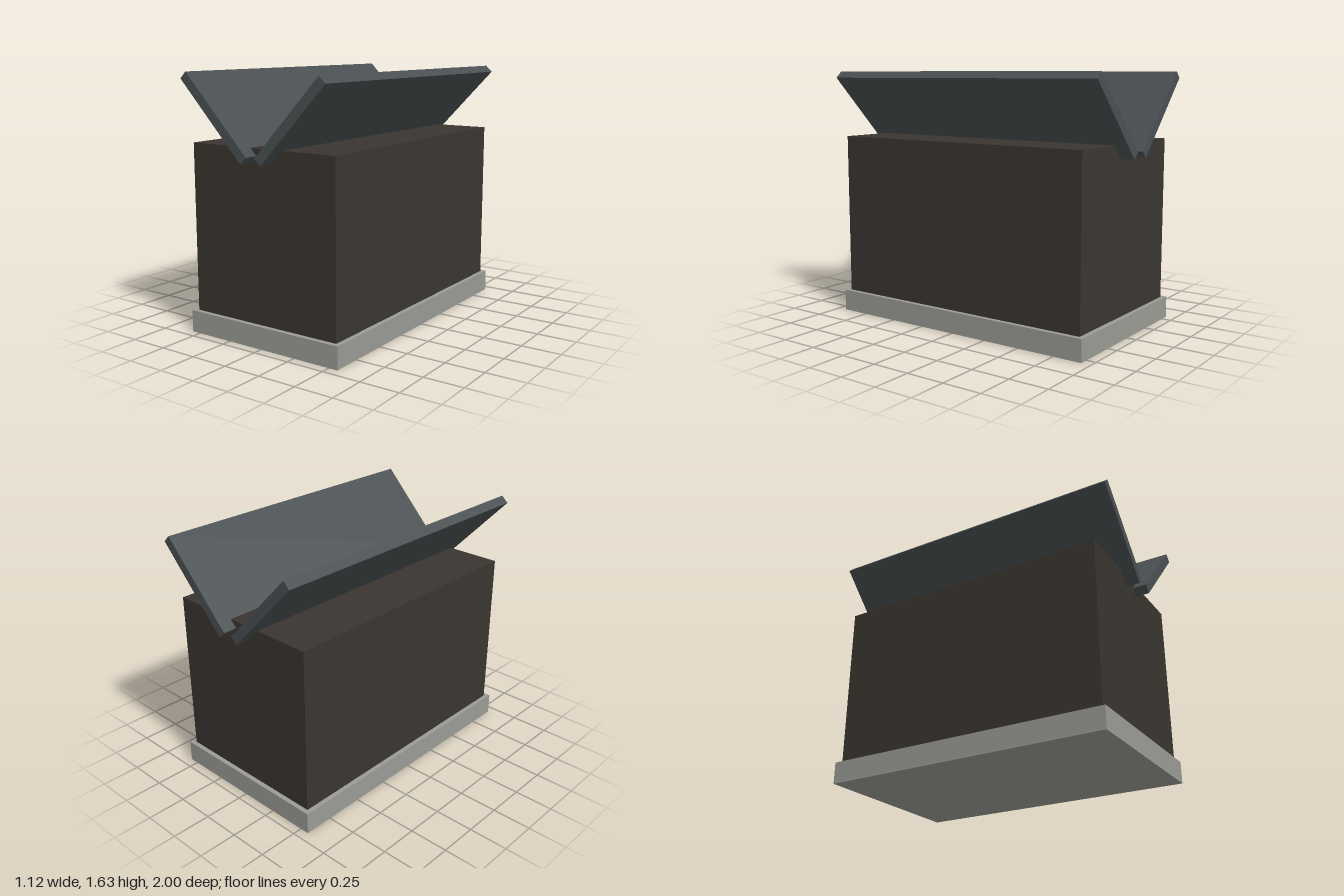
import * as THREE from 'three';

export function createModel() {
  const model = new THREE.Group();
  model.name = 'openRoofBuilding';

  const box = (name, size, position, color) => {
    const mesh = new THREE.Mesh(
      new THREE.BoxGeometry(...size),
      new THREE.MeshStandardMaterial({ color })
    );
    mesh.name = name;
    mesh.position.set(...position);
    model.add(mesh);
    return mesh;
  };

  // Plinth and solid body
  box('plinth', [1.12, 0.14, 1.88], [0, 0.07, 0], 0x9a9b95);
  box('body', [1.06, 1.06, 1.82], [0, 0.67, 0], 0x3a3530);

  // Two roof slabs rising outwards in a V, overhanging both ends
  for (const side of [1, -1]) {
    const slab = box(
      side > 0 ? 'leftRoofSlab' : 'rightRoofSlab',
      [0.66, 0.06, 2], [side * 0.281, 1.372, 0], 0x4a5052
    );
    slab.rotation.z = side * 0.805;
  }

  return model;
}
